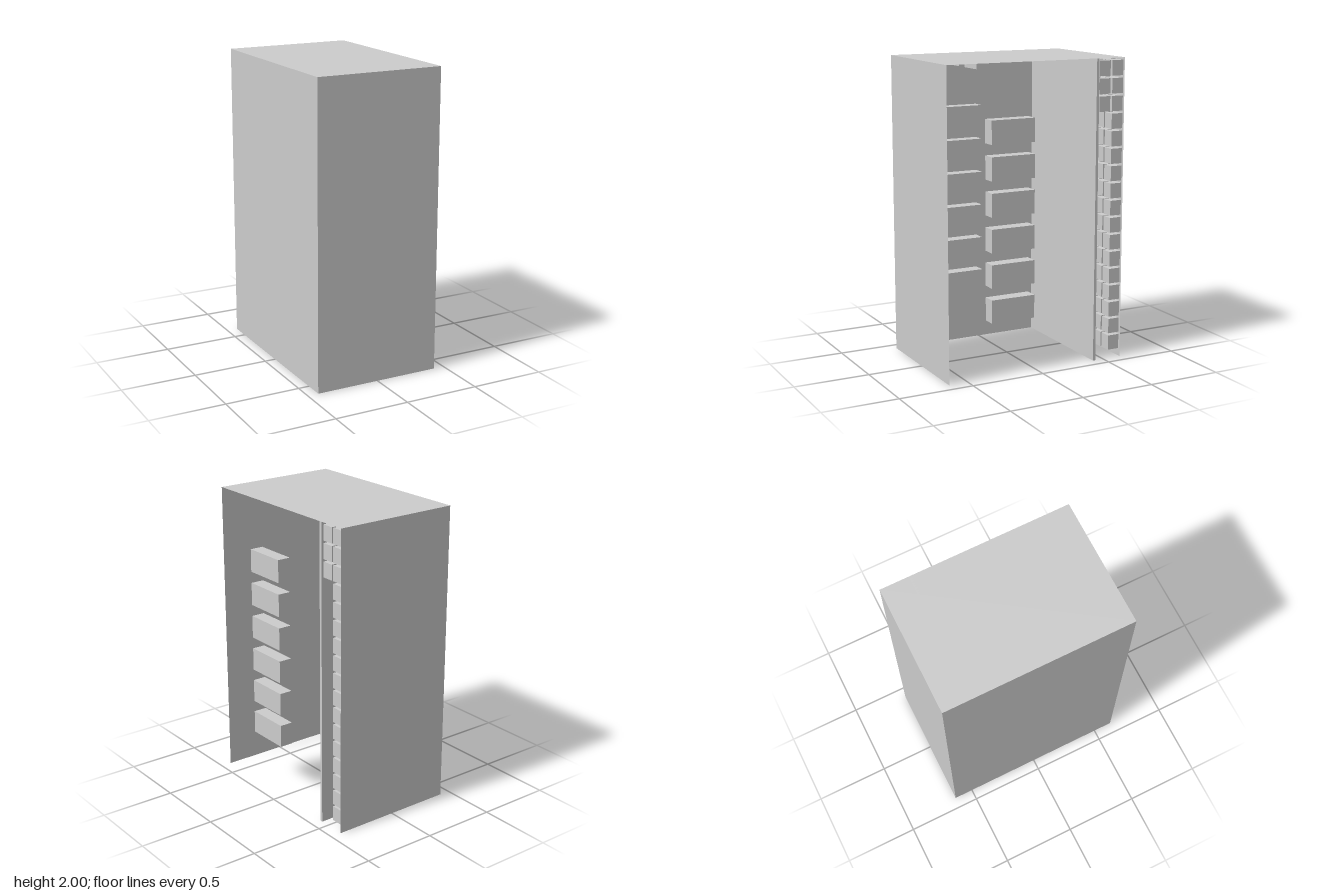
import * as THREE from 'three';

export function createModel() {
  const model = new THREE.Group();
  const W = 0.855, H = 2, D = 1.26;
  const solid = new THREE.MeshStandardMaterial({ color: 0xcccccc, flatShading: true });
  const sheet = new THREE.MeshStandardMaterial({ color: 0xcccccc, flatShading: true, side: THREE.DoubleSide });

  function panel(name, w, h, pos, rot = [0, 0, 0]) {
    const m = new THREE.Mesh(new THREE.PlaneGeometry(w, h), sheet);
    m.name = name;
    m.position.set(...pos);
    m.rotation.set(...rot);
    model.add(m);
  }

  function box(parent, name, size, pos) {
    const m = new THREE.Mesh(new THREE.BoxGeometry(...size), solid);
    m.name = name;
    m.position.set(...pos);
    parent.add(m);
  }

  function group(name) {
    const g = new THREE.Group();
    g.name = name;
    model.add(g);
    return g;
  }

  // Thin outer shell, open at the +x side and underneath
  panel('frontPanel', W, H, [0, H / 2, D / 2]);
  panel('backPanel', W, H, [0, H / 2, -D / 2], [0, Math.PI, 0]);
  panel('rightPanel', D, H, [-W / 2, H / 2, 0], [0, -Math.PI / 2, 0]);
  panel('topPanel', W, D, [0, H, 0], [-Math.PI / 2, 0, 0]);

  // Partition in front of the rear compartment
  box(model, 'partition', [W, H, 0.018], [0, H / 2, -0.431]);

  // Columns of six blocks on both sides
  const sideBlocks = group('sideBlocks');
  for (const s of [-1, 1]) {
    for (let i = 0; i < 6; i++) {
      box(sideBlocks, 'sideBlock', [0.09, 0.152, 0.303], [s * 0.373, 0.432 + i * 0.2282, 0.172]);
    }
  }

  // Two blocks hanging from the ceiling
  const ceilingBlocks = group('ceilingBlocks');
  for (const s of [-1, 1]) {
    box(ceilingBlocks, 'ceilingBlock', [0.175, 0.05, 0.175], [s * 0.125, 1.97, 0.236]);
  }

  // Grid of small blocks in the rear compartment: a full layer, plus three upper rows in front
  const rearBlocks = group('rearBlocks');
  const columns = 9, rows = 17, pitch = 0.0945;
  for (let row = 0; row < rows; row++) {
    const layers = row >= rows - 3 ? [-0.584, -0.489] : [-0.584];
    for (const z of layers) {
      for (let c = 0; c < columns; c++) {
        box(rearBlocks, 'rearBlock', [0.081, 0.099, 0.081],
          [(c - (columns - 1) / 2) * pitch, 0.104 + row * 0.1144, z]);
      }
    }
  }

  return model;
}
